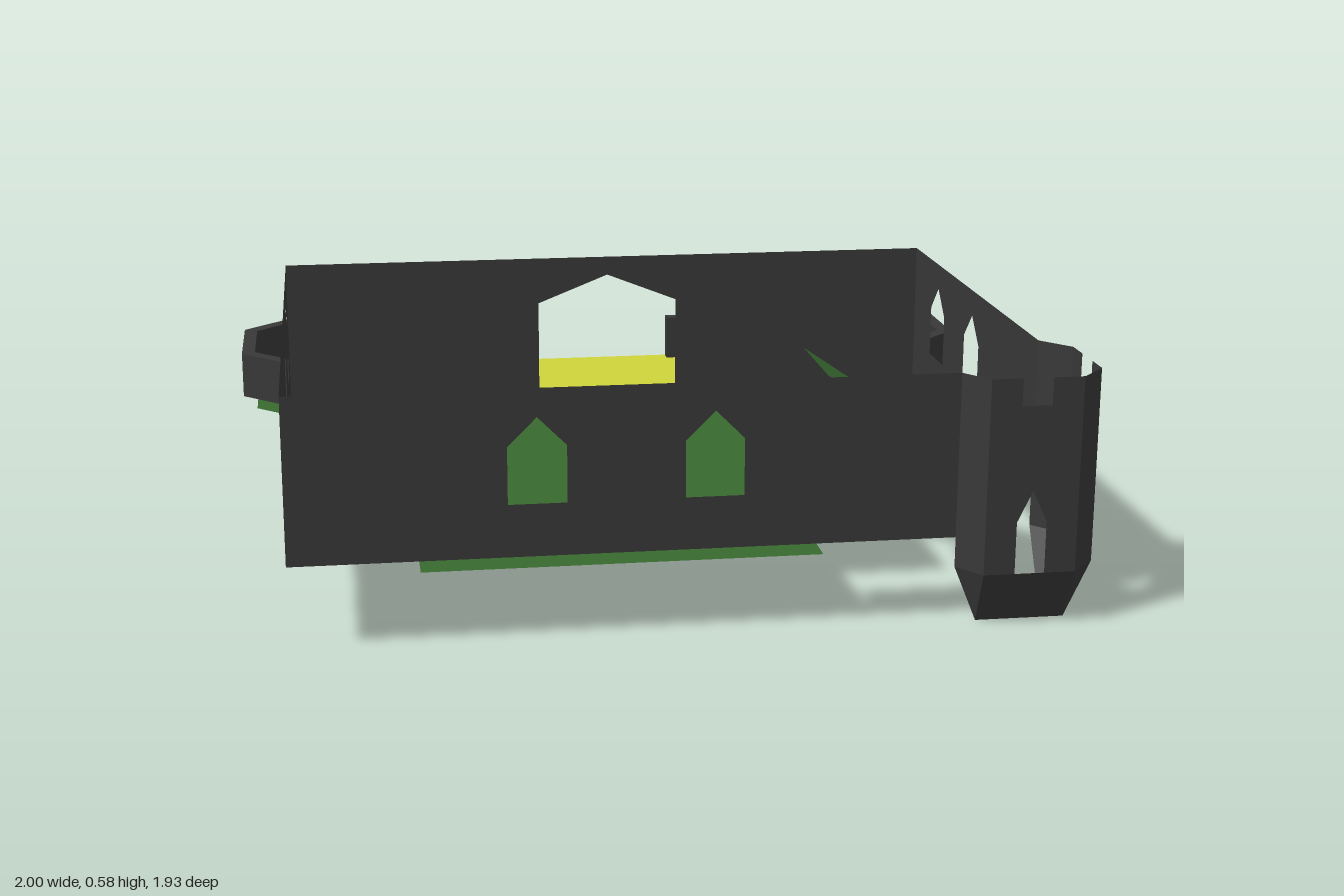
import * as THREE from 'three';

const V = (x, y) => new THREE.Vector2(x, y);
const mirrorX = (pts) => pts.map(([x, z]) => [-x, z]).reverse();

export function createModel() {
  const root = new THREE.Group();
  const mat = (name, color) => {
    const m = new THREE.MeshStandardMaterial({ color, side: THREE.DoubleSide, flatShading: true });
    m.name = name;
    return m;
  };
  const stone = mat('dark stone', 0x383838);
  const green = mat('green floor', 0x38692f);
  const yellow = mat('yellow floor', 0xcfd43c);

  const add = (name, geo, material, parent = root) => {
    const mesh = new THREE.Mesh(geo, material);
    mesh.name = name;
    parent.add(mesh);
    return mesh;
  };
  const planShape = (pts) => new THREE.Shape(pts.map(([x, z]) => V(x, -z)));
  // Horizontal sheet from [x, z] points
  const sheet = (name, pts, y, material) => {
    const geo = new THREE.ShapeGeometry(planShape(pts)).rotateX(-Math.PI / 2);
    add(name, geo.translate(0, y, 0), material);
  };
  // Pointed opening, centred on u
  const arch = (u, half, y0, ySide, yTop) =>
    [[u - half, y0], [u - half, ySide], [u, yTop], [u + half, ySide], [u + half, y0]];
  // Upright sheet from plan point a to b; notches are cut into its lower or upper edge
  const panel = (name, a, b, y0, y1, { holes = [], low = [], high = [] } = {}, parent = root) => {
    const dx = b[0] - a[0], dz = b[1] - a[1], len = Math.hypot(dx, dz);
    const outline = [[0, y0], ...low, [len, y0], [len, y1], ...high, [0, y1]];
    const shape = new THREE.Shape(outline.map((p) => V(...p)));
    holes.forEach((h) => shape.holes.push(new THREE.Path(h.map((p) => V(...p)))));
    const mesh = add(name, new THREE.ShapeGeometry(shape), stone, parent);
    mesh.position.set(a[0], 0, a[1]);
    mesh.rotation.y = Math.atan2(-dz, dx);
  };
  // Sheet of triangles fanned from 3D corner points
  const facet = (name, pts, material, parent = root) => {
    const pos = [];
    for (let i = 1; i < pts.length - 1; i++) pos.push(...pts[0], ...pts[i], ...pts[i + 1]);
    const geo = new THREE.BufferGeometry();
    geo.setAttribute('position', new THREE.Float32BufferAttribute(pos, 3));
    geo.computeVertexNormals();
    add(name, geo, material, parent);
  };

  // Main walls, left open at the corner tower
  const W = 0.87, ZF = 0.9, ZB = -0.455, Y0 = 0.2, Y1 = 0.58;
  const win = (u) => arch(u, 0.065, 0.32, 0.45, 0.515);
  const sideWindows = [win(0.1 - ZB), win(-0.22 - ZB)];
  panel('frontWall', [-W, ZF], [0.612, ZF], Y0, Y1, { holes: [win(-0.325 + W), win(0.065 + W)] });
  panel('leftWall', [W, ZB], [W, 0.635], Y0, Y1, { holes: sideWindows });
  panel('rightWall', [-W, ZB], [-W, ZF], Y0, Y1, { holes: sideWindows });
  panel('backWall', [-W, ZB], [W, ZB], Y0, Y1, { low: arch(W, 0.19, Y0, 0.455, 0.53) });

  // Main floor with a corner notch and an L-shaped stairwell
  const floorY = 0.16;
  sheet('mainFloor', [[-0.83, -0.42], [0.83, -0.42], [0.83, 0.35], [0.575, 0.35], [0.575, 0.61],
    [0.32, 0.61], [0.32, 0.86], [-0.58, 0.86], [-0.58, 0.22], [-0.83, 0.22]], floorY, green);

  // Ramp, landing and upper ramp
  const midY = 0.4, topY = 0.575;
  facet('lowerRamp', [[0.575, floorY, 0.35], [0.575, midY, 0.61], [0.83, midY, 0.61], [0.83, floorY, 0.35]], green);
  facet('rampLanding', [[0.575, midY, 0.61], [0.575, midY, 0.86], [0.83, midY, 0.86], [0.83, midY, 0.61]], green);
  facet('upperRamp', [[0.32, topY, 0.61], [0.32, topY, 0.86], [0.575, midY, 0.86], [0.575, midY, 0.61]], green);

  // Balcony floor and its underside
  const inner = [[-0.965, -0.55], [-0.965, -0.8], [-0.83, -0.935], [-0.58, -0.935],
    [-0.455, -0.805], [-0.22, -0.805]];
  const half = [[-0.83, -0.42], ...inner, [-0.22, -0.84]];
  const balcony = [...half, ...mirrorX(half)];
  sheet('balconyFloor', balcony, Y0, yellow);
  sheet('balconyUnderside', balcony, floorY, green);

  // Balcony parapets
  const outer = [[-0.22, -0.84], [-0.44, -0.84], [-0.57, -0.97], [-0.845, -0.97],
    [-1, -0.82], [-1, -0.535], [-0.87, -0.41]];
  const parapet = [[-0.87, -0.457], ...inner, ...outer];
  [['rightParapet', parapet], ['leftParapet', mirrorX(parapet)]].forEach(([name, pts]) => {
    const geo = new THREE.ExtrudeGeometry(planShape(pts), { depth: 0.12, bevelEnabled: false });
    add(name, geo.rotateX(-Math.PI / 2).translate(0, Y0, 0), stone);
  });

  // Corner tower: five upright faces, the two wide ones with a window and a crenel
  const tower = new THREE.Group();
  tower.name = 'cornerTower';
  root.add(tower);
  const ring = [[0.612, 0.9], [0.66, 0.965], [0.87, 0.965], [0.93, 0.9], [0.93, 0.705], [0.87, 0.635]];
  const base = 0.13;
  for (let i = 0; i < 5; i++) {
    const a = ring[i], b = ring[i + 1];
    const u = Math.hypot(b[0] - a[0], b[1] - a[1]) / 2, h = 0.034;
    const cuts = i % 2 ? {
      low: arch(u, h, base, 0.25, 0.322),
      high: [[u + h, Y1], [u + h, 0.517], [u - h, 0.517], [u - h, Y1]],
    } : {};
    panel('towerFace', a, b, base, Y1, cuts, tower);
  }

  // Corbel tapering back to the wall corner
  const up = ring.map(([x, z]) => [x, base, z]);
  const foot = [[0.665, 0, 0.9], [0.87, 0, 0.9], [0.87, 0, 0.71]];
  facet('towerCorbel', [up[0], foot[0], up[1]], stone, tower);
  facet('towerCorbel', [up[1], foot[0], foot[1], up[2]], stone, tower);
  facet('towerCorbel', [up[2], foot[1], up[3]], stone, tower);
  facet('towerCorbel', [up[3], foot[1], foot[2], up[4]], stone, tower);
  facet('towerCorbel', [up[4], foot[2], up[5]], stone, tower);

  return root;
}
